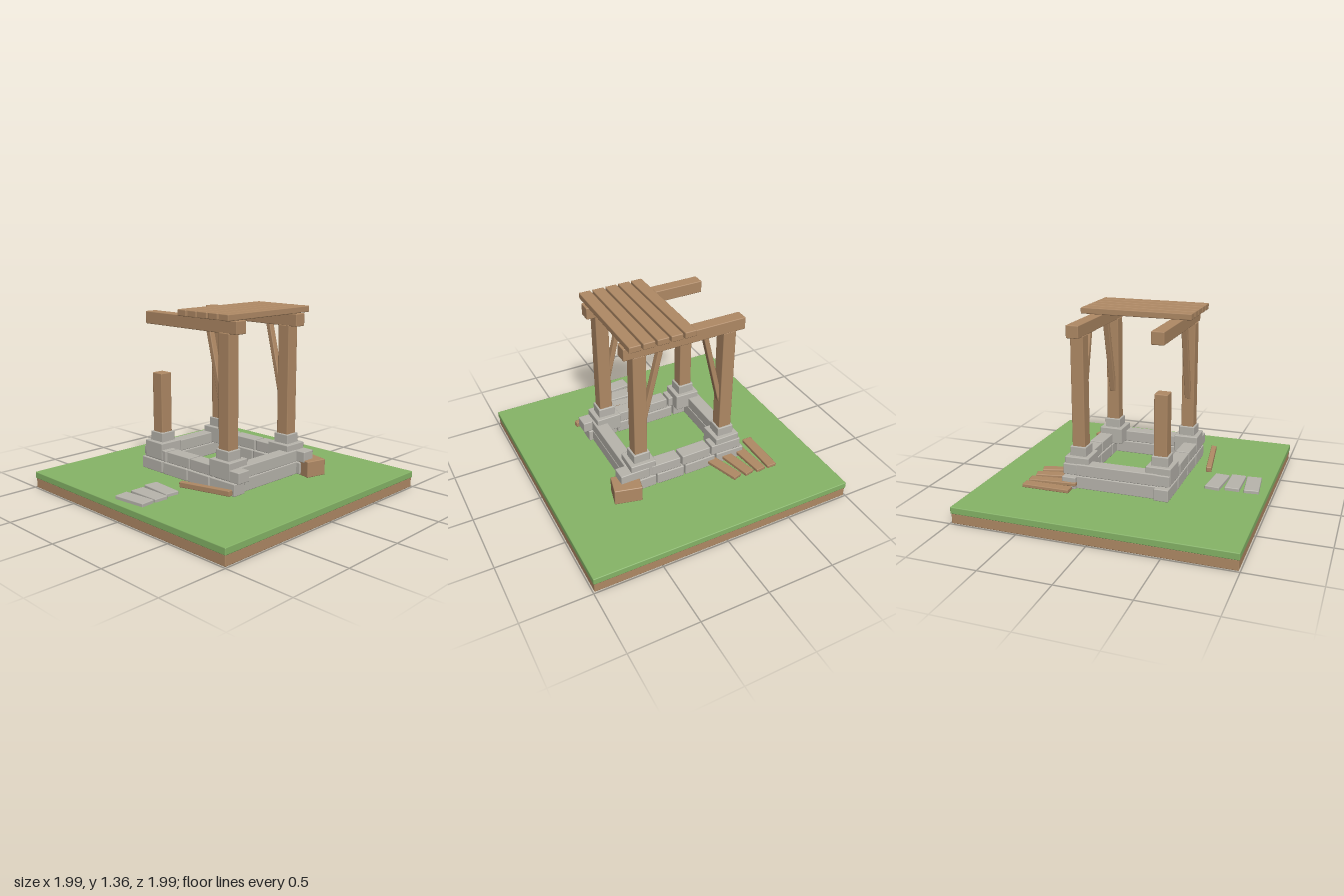
import * as THREE from 'three';
import { RoundedBoxGeometry } from 'three/addons/geometries/RoundedBoxGeometry.js';

export function createModel() {
  const model = new THREE.Group();
  model.name = 'ruinedShelter';
  const material = (name, color) => {
    const m = new THREE.MeshStandardMaterial({ color });
    m.name = name;
    return m;
  };
  const wood = material('wood', 0xb08a65);
  const stone = material('stone', 0xb8b5ad);
  const grass = material('grass', 0x86b567);

  // Block with slightly worn edges: size, centre, then turn (y) and tilt (z)
  const block = (name, mat, [w, h, d], [x, y, z], turn = 0, tilt = 0) => {
    const r = Math.min(0.006, Math.min(w, h, d) * 0.2);
    const mesh = new THREE.Mesh(new RoundedBoxGeometry(w, h, d, 1, r), mat);
    mesh.name = name;
    mesh.position.set(x, y, z);
    mesh.rotation.set(0, turn, tilt, 'YXZ');
    model.add(mesh);
    return mesh;
  };

  // Ground slab
  block('soil', wood, [1.98, 0.075, 1.98], [0, 0.0375, 0]);
  block('grass', grass, [1.99, 0.05, 1.99], [0, 0.097, 0]);

  // Front and back walls: two staggered courses
  const courses = [
    { y: 0.182, h: 0.088, spans: [[-0.48, -0.255], [-0.24, 0.01], [0.02, 0.235], [0.245, 0.48]] },
    { y: 0.274, h: 0.08, spans: [[-0.45, -0.21], [-0.195, 0.035], [0.05, 0.28], [0.295, 0.52]] },
  ];
  for (const z of [0.337, -0.345]) {
    for (const { y, h, spans } of courses) {
      spans.forEach(([a, b], i) =>
        block('wallStone', stone, [b - a, h, 0.105], [(a + b) / 2, y, z], (i % 2 ? 1 : -1) * 0.015));
    }
  }
  // Side walls: long stones
  for (const x of [-0.4, 0.4]) {
    for (const { y, h } of courses) block('sideWallStone', stone, [0.1, h + 0.005, 0.6], [x, y, 0]);
  }

  // Footings and posts; the front post on the -x side is broken short
  for (const sx of [-1, 1]) {
    for (const sz of [-1, 1]) {
      const x = sx * 0.34, z = sz * 0.302;
      const top = sx < 0 && sz > 0 ? 0.87 : 1.225;
      block('footing', stone, [0.19, 0.125, 0.18], [x, 0.3, z], sx * sz * 0.02);
      block('footingCap', stone, [0.125, 0.075, 0.12], [x, 0.393, z], -sx * sz * 0.02);
      block('post', wood, [0.098, top - 0.42, 0.095], [x, (top + 0.42) / 2, z]);

      // Slanted brace from post to beam
      if (top > 1) {
        const a = new THREE.Vector2(sx * 0.305, 0.655), b = new THREE.Vector2(sx * 0.165, 1.235);
        const dir = b.clone().sub(a);
        block('brace', wood, [0.036, dir.length(), 0.045],
          [(a.x + b.x) / 2, (a.y + b.y) / 2, z], 0, Math.atan2(-dir.x, dir.y));
      }
    }
  }

  // Beams and remaining roof planks
  for (const z of [-0.303, 0.298]) block('beam', wood, [0.912, 0.09, 0.092], [-0.003, 1.265, z]);
  for (let i = 0; i < 5; i++) {
    block('roofPlank', wood, [0.086, 0.045, 0.825], [-0.002 + i * 0.1, 1.335, -0.003]);
  }

  // Paving slabs in front
  block('pavingSlab', stone, [0.26, 0.03, 0.107], [0, 0.131, 0.617], -0.09);
  block('pavingSlab', stone, [0.26, 0.03, 0.107], [0.023, 0.131, 0.745]);
  block('pavingSlab', stone, [0.26, 0.03, 0.107], [0.023, 0.131, 0.872], 0.1);

  // Fallen timber
  block('fallenBeam', wood, [0.425, 0.04, 0.04], [0.31, 0.185, 0.494], 0.15, 0.045);
  block('timberBlock', wood, [0.2, 0.12, 0.16], [0.48, 0.19, -0.392], -0.24);
  const planks = [[-0.58, -0.467, 0], [-0.47, -0.467, 0.1], [-0.357, -0.465, 0.21], [-0.243, -0.465, 0.31]];
  for (const [x, z, turn] of planks) {
    block('fallenPlank', wood, [0.075, 0.026, 0.35], [x, 0.177, z], turn);
  }
  return model;
}
